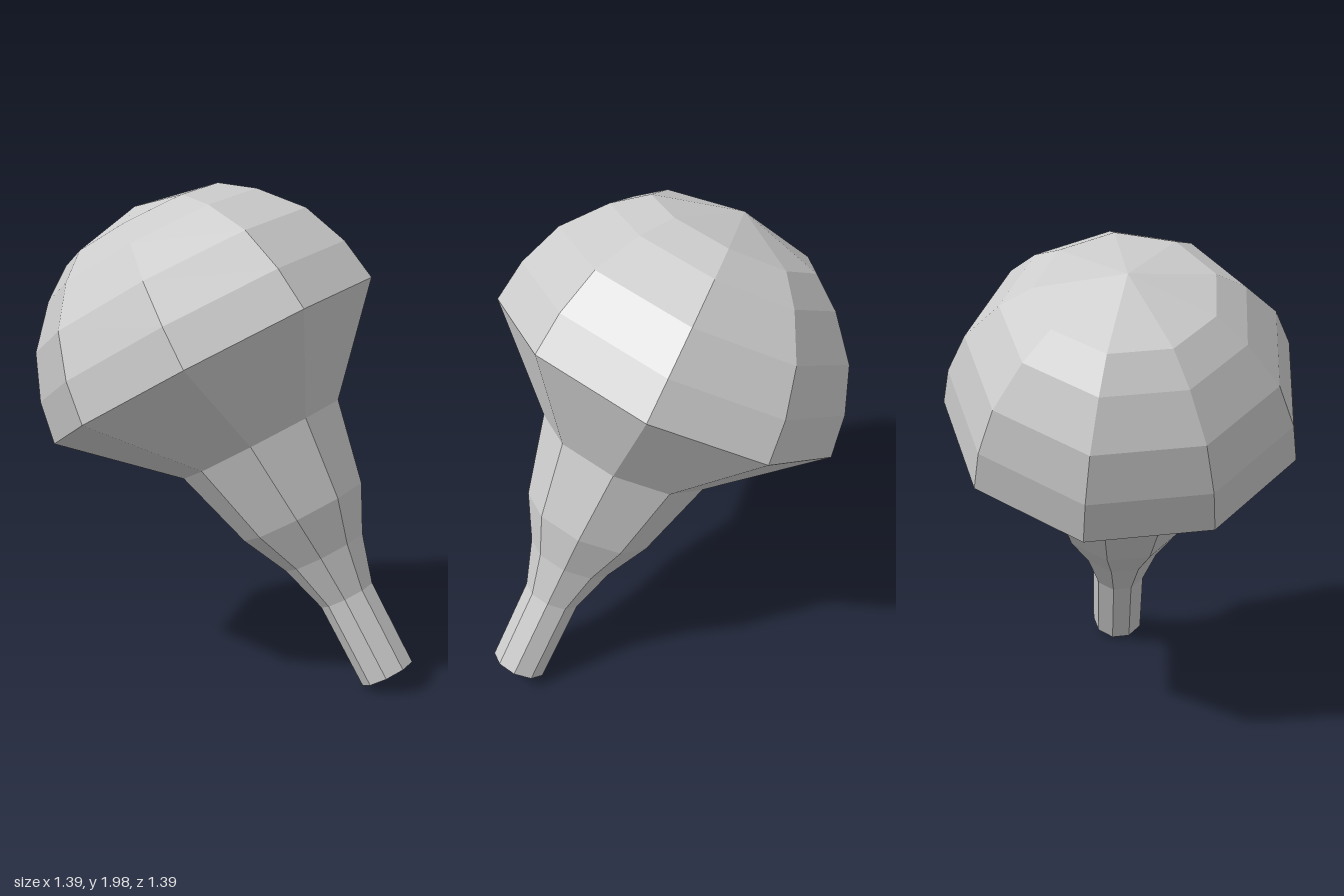
import * as THREE from 'three';

const SIDES = 9;
const PHASE = THREE.MathUtils.degToRad(6);

// Nine-sided faceted shell turned around the model's own axis
function turned(name, profile, material) {
  const points = profile.map(([r, y]) => new THREE.Vector2(r, y));
  const geometry = new THREE.LatheGeometry(points, SIDES, PHASE);
  const mesh = new THREE.Mesh(geometry, material);
  mesh.name = name;
  return mesh;
}

export function createModel() {
  const material = new THREE.MeshStandardMaterial({
    color: 0xcccccc, flatShading: true, side: THREE.DoubleSide,
  });

  // Rounded head, from its widest rim up to the crown
  const head = turned('head', [
    [0.728, 0], [0.70, 0.175], [0.625, 0.36], [0.485, 0.52], [0.355, 0.615], [0, 0.70],
  ], material);

  // Funnel and open hollow neck, from the open end up to the rim
  const neck = turned('neck', [
    [0.113, -1.435], [0.116, -1.08], [0.175, -0.885], [0.268, -0.70], [0.355, -0.365], [0.728, 0],
  ], material);

  // The neck sits slightly forward of the head's axis
  const pos = neck.geometry.attributes.position;
  for (let i = 0; i < pos.count; i++) {
    pos.setZ(i, pos.getZ(i) + Math.min(0.045, -0.08 * pos.getY(i)));
  }
  neck.geometry.computeVertexNormals();

  // Lean the whole body 30 degrees, neck towards front left
  const body = new THREE.Group();
  body.name = 'body';
  body.add(head, neck);
  const lean = new THREE.Vector3(-0.319, 0.866, -0.385).normalize();
  const side = new THREE.Vector3(0.77, 0, -0.638).normalize();
  const front = new THREE.Vector3().crossVectors(side, lean);
  body.quaternion.setFromRotationMatrix(new THREE.Matrix4().makeBasis(side, lean, front));
  body.position.y = 1.287;

  const model = new THREE.Group();
  model.name = 'model';
  model.add(body);
  return model;
}
